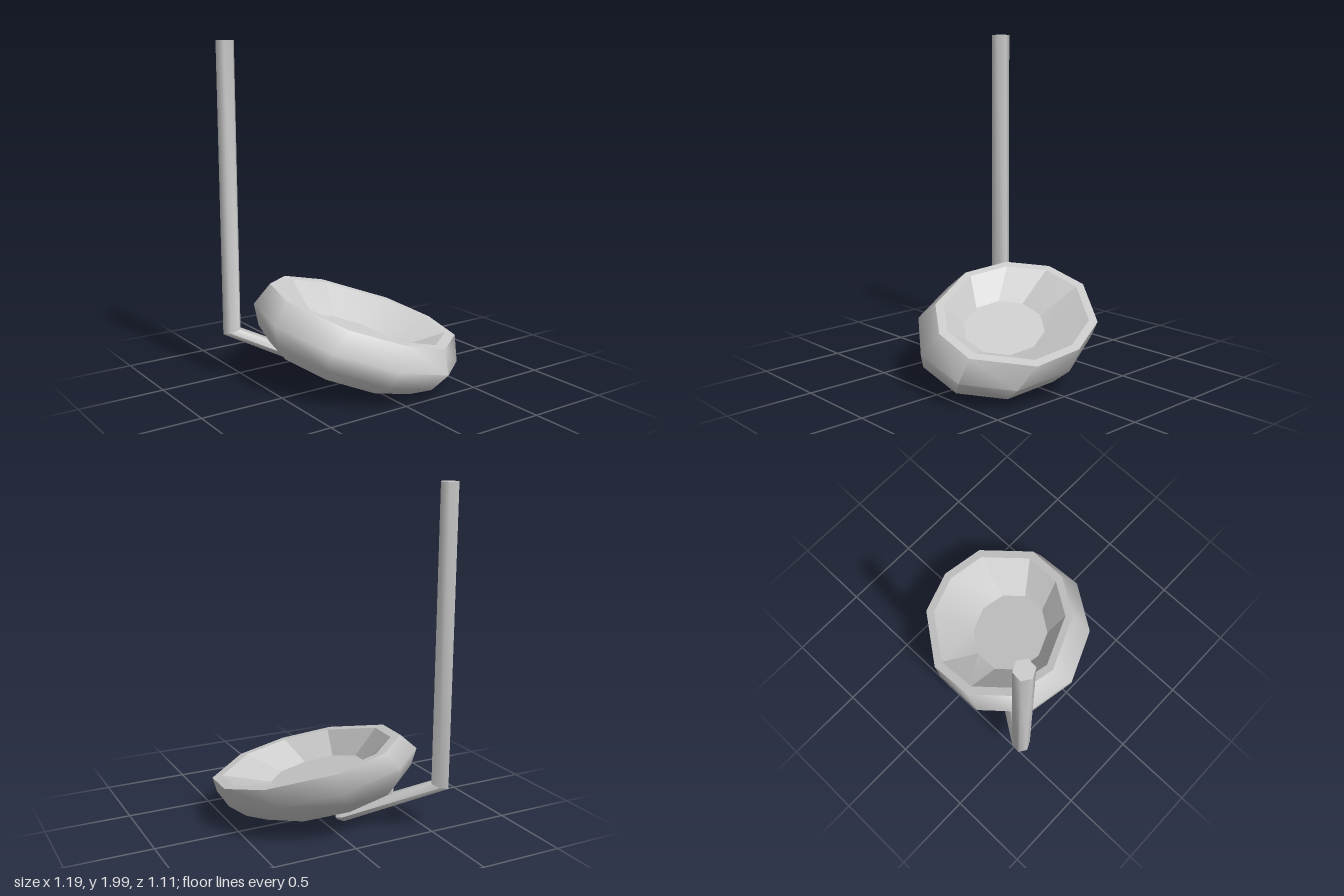
import * as THREE from 'three';
import { toCreasedNormals } from 'three/addons/utils/BufferGeometryUtils.js';

const vec = (x, y, z) => new THREE.Vector3(x, y, z);
const material = new THREE.MeshStandardMaterial({ color: 0xcccccc });

function addMesh(parent, name, geometry) {
  const mesh = new THREE.Mesh(geometry, material);
  mesh.name = name;
  parent.add(mesh);
  return mesh;
}

// Joins rings { c, u, v, turn } of n corners; turn shifts corners by degrees.
function loft(rings, n, crease, closeStart, closeEnd) {
  const corner = ({ c, u, v, turn }, k) => {
    const shift = turn ? turn[k % n] : 0;
    const a = (k / n) * Math.PI * 2 + THREE.MathUtils.degToRad(shift);
    return c.clone().addScaledVector(u, Math.cos(a)).addScaledVector(v, Math.sin(a));
  };
  const points = [];
  const first = rings[0], last = rings[rings.length - 1];
  for (let k = 0; k < n; k++) {
    if (closeStart) points.push(first.c, corner(first, k + 1), corner(first, k));
    for (let i = 0; i < rings.length - 1; i++) {
      const a = corner(rings[i], k), b = corner(rings[i], k + 1);
      const c = corner(rings[i + 1], k + 1), d = corner(rings[i + 1], k);
      points.push(a, b, d, b, c, d);
    }
    if (closeEnd) points.push(last.c, corner(last, k), corner(last, k + 1));
  }
  return toCreasedNormals(new THREE.BufferGeometry().setFromPoints(points), crease);
}

export function createModel() {
  const model = new THREE.Group();
  model.name = 'bowlOnPost';

  // Tilted ten-sided bowl, its rim corners slightly uneven
  const bowl = new THREE.Group();
  bowl.name = 'bowl';
  model.add(bowl);
  const U = vec(0.497, -0.121, 0.013), V = vec(0.076, -0.106, 0.535);
  const uneven = [-0.7, -4.5, 4.8, 0.9, -3.5, 3.3, 1, -1.2, -4, 3.7];
  const [floor, innerRim, outerRim, belly, lowerBelly, base] = [
    [0.51, -0.003, 0.295, -0.015],
    [0.9, 0.086, 0.415, -0.029, uneven],
    [1.005, 0.088, 0.415, -0.028, uneven],
    [1.085, 0.01, 0.30, 0],
    [0.965, -0.042, 0.20, 0.012],
    [0.78, -0.08, 0.133, 0],
  ].map(([s, x, y, z, turn]) => ({
    c: vec(x, y, z), u: U.clone().multiplyScalar(s), v: V.clone().multiplyScalar(s), turn,
  }));
  addMesh(bowl, 'interior', loft([floor, innerRim, outerRim], 10, 0.3, true, false));
  addMesh(bowl, 'outerWall', loft([outerRim, belly, lowerBelly, base], 10, 1.2, false, false));
  addMesh(bowl, 'base', loft([base], 10, 0.3, false, true));

  // Six-sided post, bent at the foot into an arm that runs under the bowl
  const along = vec(0.82, 0, 0.57), across = vec(0.57, 0, -0.82);
  const r = 0.056;
  const elbow = vec(-0.55, 0.285, -0.492), tip = vec(-0.09, 0.068, -0.17);
  const side = across.clone().multiplyScalar(r);
  const flat = along.clone().multiplyScalar(r);
  const tipUp = vec(0.012, 0.038, 0.008);
  addMesh(model, 'post', loft([
    { c: vec(-0.55, 2, -0.492), u: side, v: flat },
    { c: elbow, u: side, v: flat.clone().setY(0.015) },
    { c: tip, u: side, v: tipUp },
    {
      c: tip.clone().add(vec(0.03, -0.008, 0.02)),
      u: side.clone().multiplyScalar(0.6), v: tipUp.clone().multiplyScalar(0.6),
    },
  ], 6, 1.1, true, true));

  // Mounting plate pressed against the base of the bowl
  const baseY = (x, z) => 0.133 - 0.24 * (x + 0.08) - 0.165 * z;
  const onBase = (t, drop) => {
    const p = elbow.clone().lerp(tip, t);
    return p.setY(baseY(p.x, p.z) - drop);
  };
  const bracket = new THREE.Group();
  bracket.name = 'bracket';
  model.add(bracket);
  const start = onBase(0.48, 0.01), end = onBase(1.06, 0.01);
  const plate = addMesh(bracket, 'plate', new THREE.BoxGeometry(0.09, 0.02, start.distanceTo(end)));
  plate.position.copy(start).lerp(end, 0.5);
  plate.lookAt(end);

  // Two studs joining the arm to the plate
  for (const t of [0.6, 0.95]) {
    const top = onBase(t, 0.01), bottom = elbow.clone().lerp(tip, t);
    const stud = addMesh(bracket, 'stud',
      new THREE.CylinderGeometry(0.022, 0.022, top.y - bottom.y, 6));
    stud.position.copy(top).lerp(bottom, 0.5);
  }
  return model;
}
